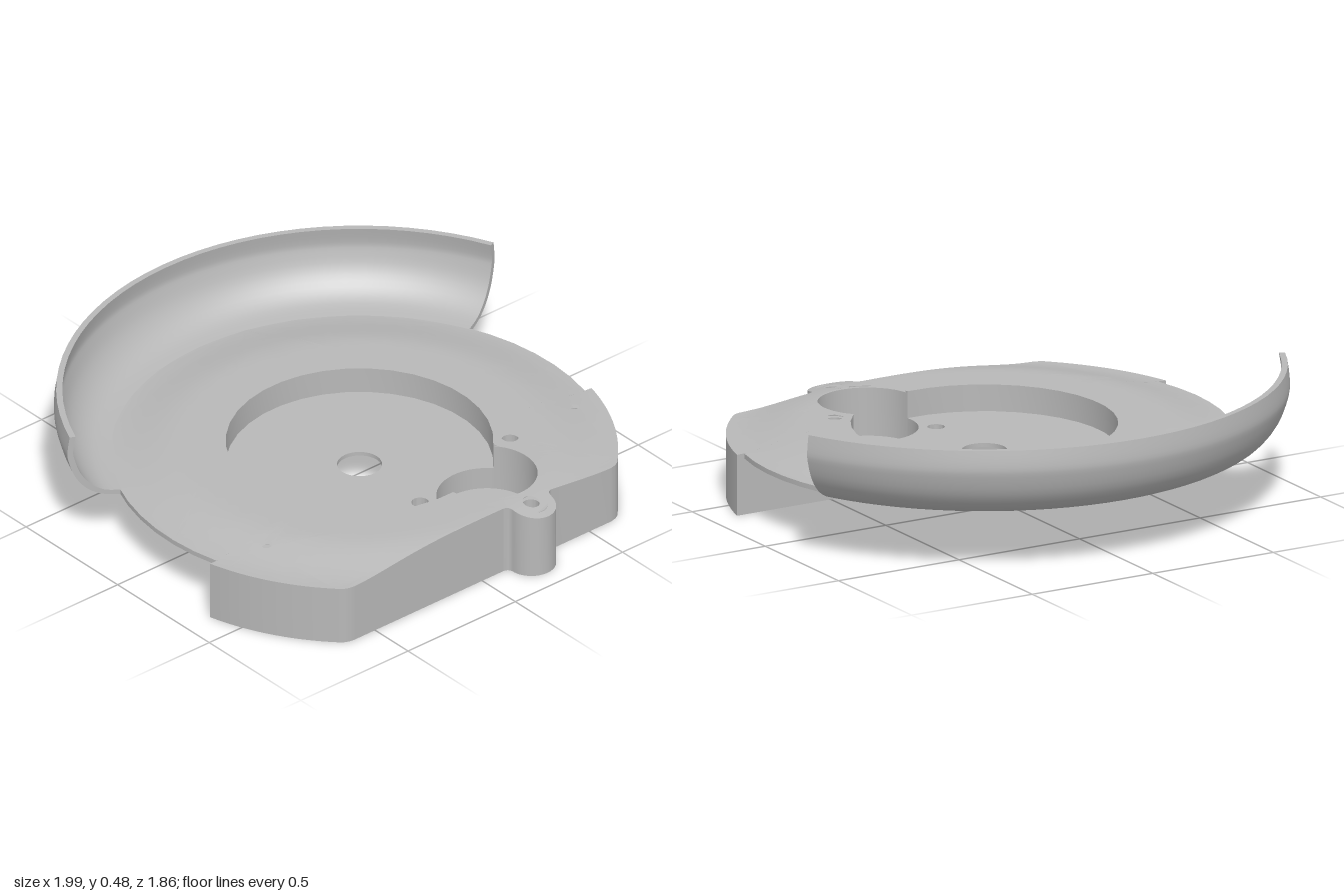
import * as THREE from 'three';
import { mergeVertices, toCreasedNormals } from 'three/addons/utils/BufferGeometryUtils.js';

// Plans are drawn in (x, z); the disc is centred on (0, CZ).
const CZ = 0.15, DISC_R = 0.888, BOX_R = 0.917, PAN_R = 0.475, BACK_Z = 0.375;
const POCKET = { x: 0.21, z: 0.6, r: 0.18 };
const SEG = 16, MAX_EDGE = 0.07, SKIN = 0.018;

const grey = new THREE.MeshStandardMaterial({ color: 0xb8b8b8, side: THREE.DoubleSide });
grey.name = 'grey';

// Height of the domed upper surface
const dome = (x, z) => 0.265 - 0.04 * THREE.MathUtils.smoothstep(Math.hypot(x, z - CZ), 0.64, 0.9);

// Angles where the pan circle and pocket circle cross
const dist = Math.hypot(POCKET.x, POCKET.z - CZ);
const aim = Math.atan2(POCKET.z - CZ, POCKET.x);
const A = Math.acos((dist ** 2 + PAN_R ** 2 - POCKET.r ** 2) / (2 * dist * PAN_R));
const B = Math.acos((dist ** 2 + POCKET.r ** 2 - PAN_R ** 2) / (2 * dist * POCKET.r));
const TAU = Math.PI * 2;
const panArc = [aim + A, aim - A + TAU];
const farArc = [aim + Math.PI + B, aim + Math.PI - B + TAU];
const nearArc = [aim + Math.PI - B, aim + Math.PI + B];

// Screw holes: x, z, hole radius, boss radius, boss top
const screws = [
  [-0.68, 0.44, 0.02, 0.042, 0.222],
  [0.75, 0.44, 0.02, 0.042, 0.218],
  [0.42, 0.48, 0.031, 0.05, 0.255],
  [0.21, 0.84, 0.031, 0.06, 0.245],
  [0, 0.48, 0.031, 0.05, 0.152],
];

const circle = (x, z, r, type = THREE.Path) => new type().absarc(x, z, r, 0, TAU, false);

// Flat plan shape raised between two heights
function slab(shape, y0, y1) {
  const geo = new THREE.ExtrudeGeometry(shape, { depth: y1 - y0, bevelEnabled: false, curveSegments: SEG });
  geo.rotateX(Math.PI / 2).translate(0, y1, 0);
  return toCreasedNormals(geo, 0.6);
}

function tube(x, z, rOut, rIn, y0, y1) {
  const s = circle(x, z, rOut, THREE.Shape);
  s.holes.push(circle(x, z, rIn));
  return slab(s, y0, y1);
}

function arcStrip(x, z, rIn, rOut, [a0, a1], y0, y1) {
  const s = new THREE.Shape().absarc(x, z, rOut, a0, a1, false);
  s.absarc(x, z, rIn, a1, a0, true);
  return slab(s, y0, y1);
}

// Outer line of the front housing, from its left back corner to its right one
function housingLine(path) {
  const a0 = Math.asin((BACK_Z - CZ) / BOX_R), a1 = 0.773;
  path.absarc(0, CZ, BOX_R, a0, a1, false);
  path.quadraticCurveTo(0.633, 0.82, 0.59, 0.82);
  path.lineTo(0.325, 0.82);
  path.quadraticCurveTo(0.298, 0.82, 0.298, 0.85);
  path.absarc(0.21, 0.842, 0.088, 0.09, Math.PI - 0.09, false);
  path.quadraticCurveTo(0.122, 0.82, 0.095, 0.82);
  path.lineTo(-0.59, 0.82);
  path.quadraticCurveTo(-0.633, 0.82, BOX_R * Math.cos(Math.PI - a1), CZ + BOX_R * Math.sin(a1));
  path.absarc(0, CZ, BOX_R, Math.PI - a1, Math.PI - a0, false);
  return path;
}

// Domed plate: triangulate the plan, halve long edges, then lift by the dome
function plate(drop, up) {
  const shape = housingLine(new THREE.Shape());
  const a = Math.asin((BACK_Z - CZ) / DISC_R);
  shape.absarc(0, CZ, DISC_R, Math.PI - a, TAU + a, false);
  const opening = new THREE.Path().absarc(0, CZ, PAN_R, ...panArc, false);
  opening.absarc(POCKET.x, POCKET.z, POCKET.r, ...farArc, false);
  shape.holes.push(opening, ...screws.slice(0, 4).map(([x, z, r]) => circle(x, z, r)));
  const flat = new THREE.ShapeGeometry(shape, SEG);
  const p = flat.attributes.position, idx = flat.index.array, out = [];
  const split = (t) => {
    const len = t.map((v, i) => v.distanceTo(t[(i + 1) % 3]));
    const k = len.indexOf(Math.max(...len));
    if (len[k] <= MAX_EDGE) {
      for (const v of up ? [t[0], t[2], t[1]] : t) out.push(v.x, dome(v.x, v.y) - drop, v.y);
      return;
    }
    const [u, v, w] = [t[k], t[(k + 1) % 3], t[(k + 2) % 3]];
    const m = u.clone().add(v).multiplyScalar(0.5);
    split([u, m, w]);
    split([m, v, w]);
  };
  for (let i = 0; i < idx.length; i += 3) {
    split([0, 1, 2].map((j) => new THREE.Vector2(p.getX(idx[i + j]), p.getY(idx[i + j]))));
  }
  const geo = new THREE.BufferGeometry();
  geo.setAttribute('position', new THREE.Float32BufferAttribute(out, 3));
  const merged = mergeVertices(geo, 1e-5);
  merged.computeVertexNormals();
  return merged;
}

// Thin housing wall that follows the dome and dips under the pan
function housingWall(thickness) {
  const raw = housingLine(new THREE.Path()).getPoints(SEG);
  for (const x of [-0.421, -0.417, 0.417, 0.421]) raw.push(new THREE.Vector2(x, BACK_Z));
  const pts = [];
  const split = (u, v) => {
    const d = u.distanceTo(v);
    if (d < 1e-5) return;
    if (d <= MAX_EDGE) { pts.push(u); return; }
    const m = u.clone().add(v).multiplyScalar(0.5);
    split(u, m);
    split(m, v);
  };
  raw.forEach((u, i) => split(u, raw[(i + 1) % raw.length]));
  const n = pts.length;
  const top = (q) => (Math.hypot(q.x, q.y - CZ) < PAN_R ? 0.155 : dome(q.x, q.y));
  const sections = pts.map((q, i) => {
    const d0 = q.clone().sub(pts[(i + n - 1) % n]).normalize();
    const d1 = pts[(i + 1) % n].clone().sub(q).normalize();
    const m = new THREE.Vector2(-d0.y - d1.y, d0.x + d1.x).normalize();
    const k = thickness / Math.max(0.5, -m.x * d1.y + m.y * d1.x);
    const inner = q.clone().addScaledVector(m, k), h = top(q);
    return [[q.x, h, q.y], [q.x, 0, q.y], [inner.x, 0, inner.y], [inner.x, h - 0.006, inner.y]];
  });
  const out = [];
  sections.forEach((s, i) => {
    const t = sections[(i + 1) % n];
    for (let j = 0; j < 3; j++) {
      out.push(...s[j], ...t[j], ...s[j + 1], ...t[j], ...t[j + 1], ...s[j + 1]);
    }
  });
  const geo = new THREE.BufferGeometry();
  geo.setAttribute('position', new THREE.Float32BufferAttribute(out, 3));
  geo.computeVertexNormals();
  return toCreasedNormals(geo, 0.5);
}

export function createModel() {
  const model = new THREE.Group();
  const add = (name, geo, parent = model) => {
    const mesh = new THREE.Mesh(geo, grey);
    mesh.name = name;
    parent.add(mesh);
    return mesh;
  };

  // Domed plate and its rim
  add('plateTop', plate(0, true));
  add('plateUnderside', plate(SKIN, false));
  add('plateRim', arcStrip(0, CZ, 0.87, DISC_R, [Math.PI - 0.256, TAU + 0.256], 0.207, 0.225));

  // Hollow front housing
  add('housingWall', housingWall(0.02));

  // Round pan sunk into the plate
  add('panWall', arcStrip(0, CZ, PAN_R, PAN_R + 0.012, panArc, 0.15, 0.264));
  const floor = new THREE.Shape().absarc(0, CZ, PAN_R, ...panArc, false);
  floor.absarc(POCKET.x, POCKET.z, POCKET.r, nearArc[1], nearArc[0], true);
  floor.holes.push(circle(0, CZ, 0.08), circle(0, 0.48, 0.031));
  add('panFloor', slab(floor, 0.15, 0.165));

  // Deeper pocket with a hub below
  const { x, z, r } = POCKET;
  add('pocketFarWall', arcStrip(x, z, r, r + 0.015, farArc, 0.06, 0.258));
  add('pocketNearWall', arcStrip(x, z, r, r + 0.015, nearArc, 0.06, 0.163));
  add('pocketFloor', tube(x, z, r + 0.002, 0.06, 0.06, 0.08));
  add('pocketHub', tube(x, z, 0.085, 0.06, 0.02, 0.062));

  // Screw bosses under the holes
  for (const [sx, sz, hole, boss, y1] of screws) add('screwBoss', tube(sx, sz, boss, hole, 0, y1));

  // Curled guard round the back
  const guard = new THREE.Group();
  guard.name = 'guard';
  guard.position.z = CZ;
  model.add(guard);
  const v2 = (list) => list.map(([a, b]) => new THREE.Vector2(a, b));
  const outer = new THREE.SplineCurve(v2([[0.88, 0.207], [0.95, 0.22], [1.01, 0.253], [1.055, 0.31],
    [1.08, 0.38], [1.084, 0.42], [1.076, 0.48]])).getPoints(18);
  const inner = new THREE.SplineCurve(v2([[1.054, 0.48], [1.063, 0.42], [1.058, 0.385], [1.037, 0.325],
    [0.998, 0.272], [0.945, 0.237], [0.88, 0.2255]])).getPoints(18);
  const half = 1.164;
  const sweep = (pts) => new THREE.LatheGeometry(pts, 32, Math.PI - half, 2 * half);
  add('guardOuter', sweep(outer), guard);
  add('guardLip', sweep([outer[18], inner[0]]), guard);
  add('guardInner', sweep(inner), guard);
  for (const side of [-1, 1]) {
    const cap = add('guardEnd', new THREE.ShapeGeometry(new THREE.Shape([...outer, ...inner])), guard);
    cap.rotation.y = Math.PI / 2 + side * half;
  }
  return model;
}
